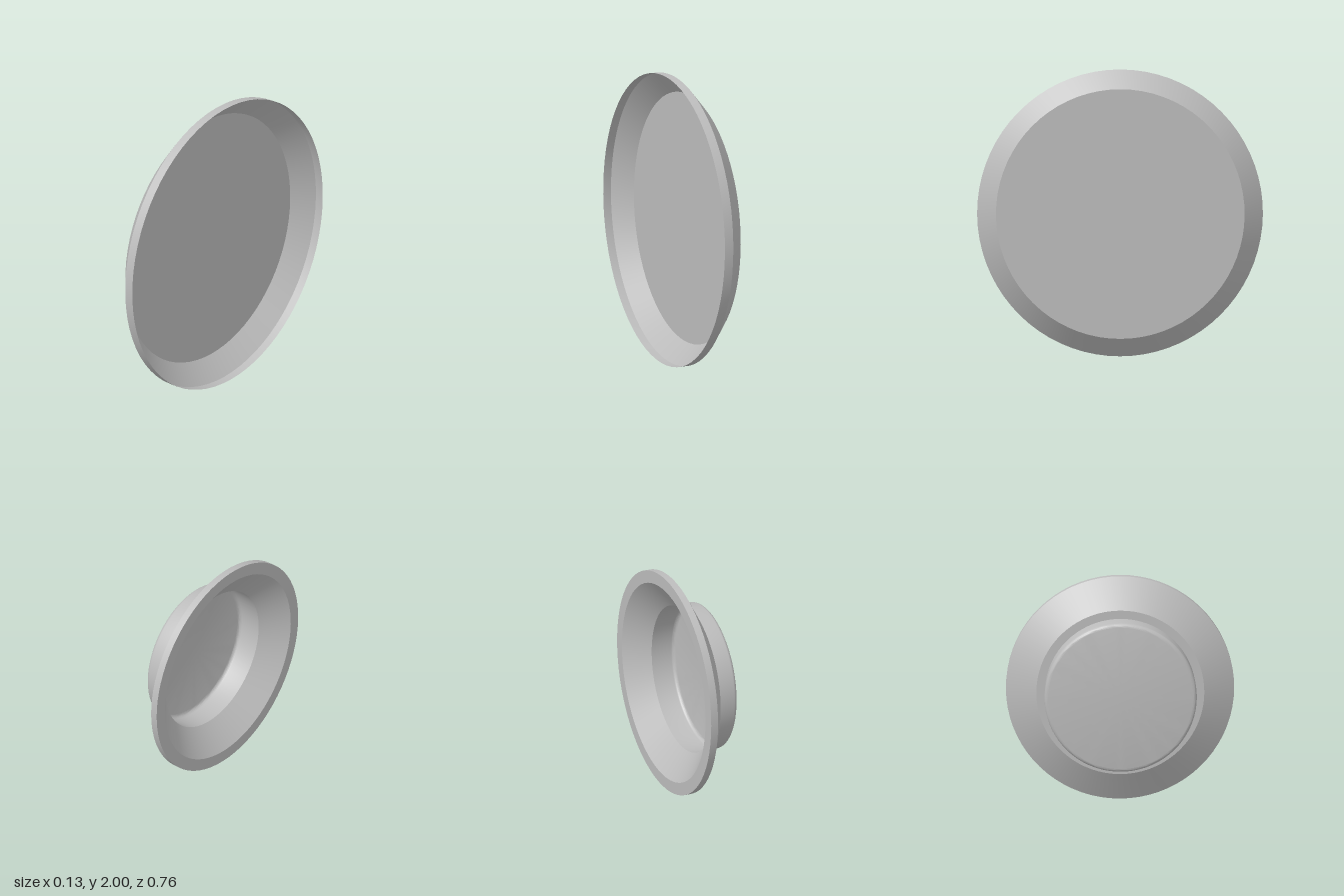
import * as THREE from 'three';
import { toCreasedNormals } from 'three/addons/utils/BufferGeometryUtils.js';

const grey = new THREE.MeshStandardMaterial({ color: 0xbcbcbc, side: THREE.DoubleSide });
grey.name = 'plain grey';

// Turned part with its axis along x; the profile is a list of [radius, x]
function turned(name, profile, y) {
  const points = profile.map(([r, x]) => new THREE.Vector2(r, x));
  const geometry = toCreasedNormals(new THREE.LatheGeometry(points, 72), 0.4);
  geometry.rotateZ(-Math.PI / 2);
  const mesh = new THREE.Mesh(geometry, grey);
  mesh.name = name;
  mesh.position.y = y;
  return mesh;
}

export function createModel() {
  const model = new THREE.Group();
  model.name = 'dishPair';

  // Shallow open dish: floor, sloping side, straight rim
  model.add(turned('upperDish', [[0, -0.004], [0.33, -0.004], [0.382, 0.042], [0.382, 0.065]], 1.618));

  // Flange: outer cone, straight rim, flat lip and inner cone
  const lower = new THREE.Group();
  lower.name = 'lowerDish';
  lower.add(turned('flange', [
    [0.207, -0.004], [0.23, -0.004], [0.315, 0.045], [0.315, 0.065], [0.28, 0.065], [0.207, 0.004],
  ], 0.315));

  // Round cup behind the flange, with a small rounded corner
  const cup = [[0, -0.067]];
  for (let i = 0; i <= 5; i++) {
    const a = (i / 5) * Math.PI / 2;
    cup.push([0.197 + 0.01 * Math.sin(a), -0.057 - 0.01 * Math.cos(a)]);
  }
  cup.push([0.207, 0.004]);
  lower.add(turned('cup', cup, 0.315));

  model.add(lower);
  return model;
}
